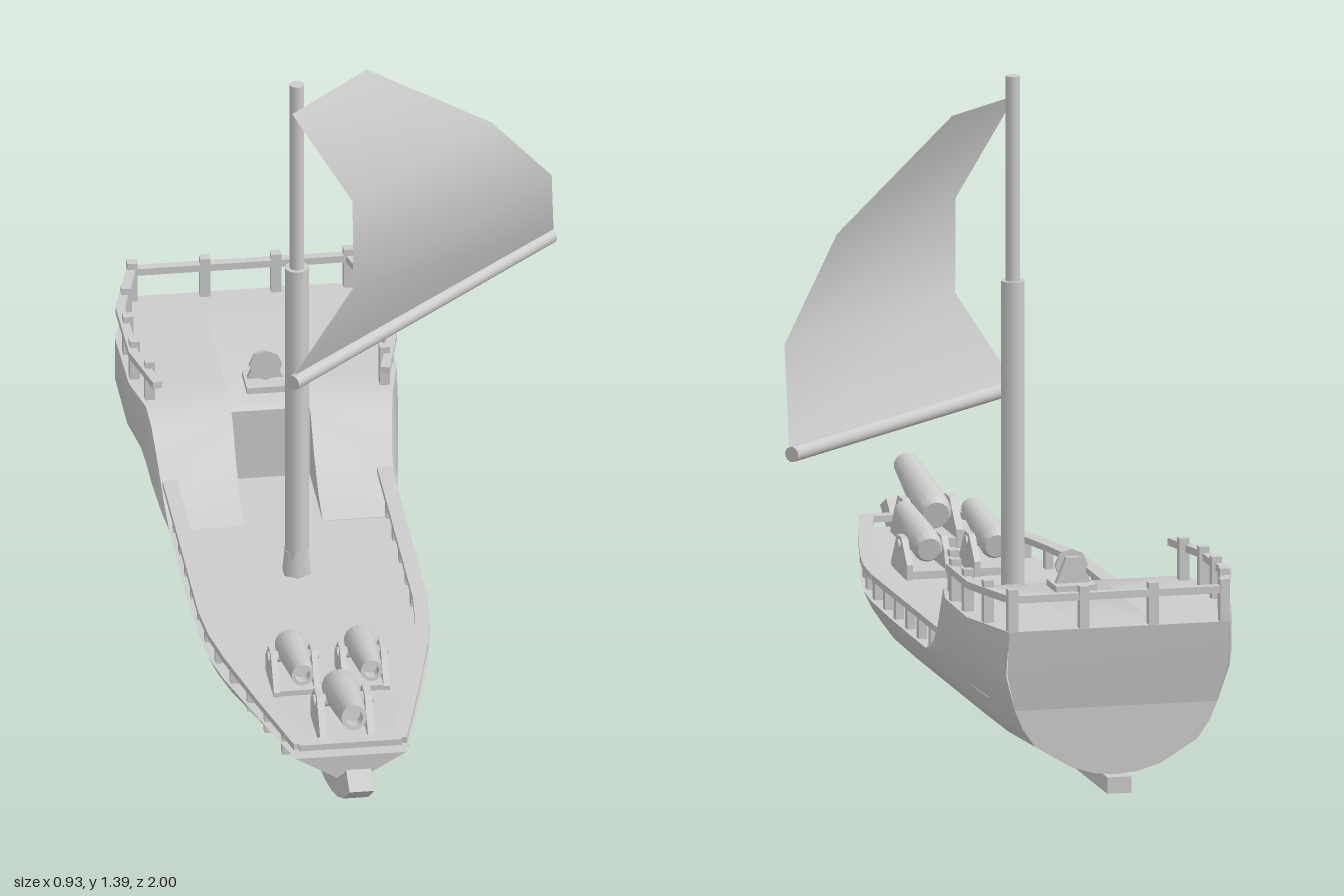
import * as THREE from 'three';
import { toCreasedNormals } from 'three/addons/utils/BufferGeometryUtils.js';

const CX = -0.17; // centre line of the ship
const mat = new THREE.MeshStandardMaterial({ color: 0xcccccc });
const thin = new THREE.MeshStandardMaterial({ color: 0xcccccc, side: THREE.DoubleSide });

function add(parent, name, geo, pos = [0, 0, 0], material = mat) {
  const m = new THREE.Mesh(geo, material);
  m.name = name;
  m.position.set(...pos);
  parent.add(m);
  return m;
}

// Surface through rows of [x, y, z] points
function loft(rows, crease = 0.6) {
  const n = rows[0].length, idx = [];
  for (let i = 0; i < rows.length - 1; i++)
    for (let j = 0; j < n - 1; j++) {
      const a = i * n + j, b = a + n;
      idx.push(a, b, a + 1, b, b + 1, a + 1);
    }
  const g = new THREE.BufferGeometry();
  g.setAttribute('position', new THREE.Float32BufferAttribute(rows.flat(2), 3));
  g.setIndex(idx);
  return toCreasedNormals(g, crease);
}
const sheet = (parent, name, rows, crease) => add(parent, name, loft(rows, crease), [0, 0, 0], thin);

// Outline [z, y] pulled along x, centred on x = 0
function slab(outline, width) {
  const g = new THREE.ExtrudeGeometry(
    new THREE.Shape(outline.map(([z, y]) => new THREE.Vector2(-z, y))),
    { depth: width, bevelEnabled: false });
  return g.translate(0, 0, -width / 2).rotateY(Math.PI / 2);
}

// Square bar or round pole between two points
function bar(parent, name, a, b, w, h) {
  const A = new THREE.Vector3(...a), B = new THREE.Vector3(...b), d = B.clone().sub(A);
  const m = add(parent, name, new THREE.BoxGeometry(w, h, d.length() + w * 0.25));
  m.position.lerpVectors(A, B, 0.5);
  m.rotation.y = Math.atan2(d.x, d.z);
}
function pole(parent, name, a, b, ra, rb, sides = 12) {
  const A = new THREE.Vector3(...a), B = new THREE.Vector3(...b), d = B.clone().sub(A);
  const m = add(parent, name, new THREE.CylinderGeometry(rb, ra, d.length(), sides));
  m.position.lerpVectors(A, B, 0.5);
  m.quaternion.setFromUnitVectors(new THREE.Vector3(0, 1, 0), d.normalize());
}

// Lower hull sections: z, deck y, half width, bottom y, sharpness of the V
const SECTIONS = [
  [0.82, 0.225, 0.12, 0.155, 1], [0.7, 0.218, 0.15, 0.108, 0.85], [0.6, 0.212, 0.175, 0.08, 0.65],
  [0.4, 0.2, 0.222, 0.05, 0.3], [0.3, 0.197, 0.24, 0.043, 0.15], [0.2, 0.195, 0.247, 0.04, 0],
  [0, 0.193, 0.25, 0.04, 0], [-0.28, 0.19, 0.248, 0.04, 0], [-0.6, 0.19, 0.248, 0.04, 0],
  [-0.8, 0.19, 0.245, 0.04, 0], [-0.97, 0.19, 0.225, 0.04, 0]];
const HALF = [[0, 0], [0.22, 0.03], [0.45, 0.14], [0.8, 0.46], [0.92, 0.72], [1, 1]];
// Raised stern: z, top y, top half width
const STERN = [[-0.28, 0.191, 0.248], [-0.35, 0.22, 0.25], [-0.42, 0.277, 0.254], [-0.47, 0.34, 0.261],
  [-0.51, 0.37, 0.268], [-0.62, 0.37, 0.291], [-0.82, 0.37, 0.294], [-1, 0.37, 0.245]];

function at(table, z, col) {
  for (let i = 0; i < table.length - 1; i++) {
    const a = table[i], b = table[i + 1];
    if (z <= a[0] && z >= b[0]) return a[col] + (b[col] - a[col]) * (a[0] - z) / (a[0] - b[0]);
  }
  return table[table.length - 1][col];
}

function buildHull(ship) {
  const hull = new THREE.Group();
  hull.name = 'hull';
  ship.add(hull);
  const mirror = half => [...half.slice(1).reverse().map(([x, y, z]) => [-x, y, z]), ...half];
  const rows = SECTIONS.map(([z, top, w, low, vee]) =>
    mirror(HALF.map(([u, v]) => [u * w, low + (v + (u - v) * vee) * (top - low), z])));
  sheet(hull, 'lowerHull', rows, 0.9);

  // Flared sides of the raised stern
  for (const s of [1, -1])
    sheet(hull, 'sternSide', STERN.map(([z, y, w]) => {
      const zLow = Math.max(z, -0.97), yMid = 0.19 + (y - 0.19) * 0.45;
      const flare = Math.max(w, 0.248 + 0.046 * Math.min(1, (-0.28 - z) / 0.34) * (z > -0.83));
      return [[s * at(SECTIONS, zLow, 2), 0.19, zLow], [s * flare, yMid, (z + zLow) / 2], [s * w, y, z]];
    }), 0.9);

  // Flat bow and stern faces
  const cap = (name, ring) => sheet(hull, name, [ring, ring.map(p => [0, ring[0][1], p[2]])], 0.1);
  cap('bowFace', rows[0]);
  cap('transom', rows[rows.length - 1]);
  const wide = [[0.225, 0.19, -0.97], [0.245, 0.271, -0.985], [0.245, 0.37, -1]];
  sheet(hull, 'upperTransom', wide.map(([x, y, z]) => [[-x, y, z], [x, y, z]]));

  // Decks, with a stairwell cut into the ramp
  const W = 0.085, ZB = -0.49, yB = at(STERN, ZB, 1);
  const across = ([z, y]) => [[-W, y, z], [W, y, z]];
  sheet(hull, 'mainDeck', SECTIONS.slice(0, 8).map(([z, y, w]) => [[-w, y, z], [w, y, z]]));
  sheet(hull, 'sternDeckMiddle', [[ZB, yB], [-0.51, 0.37], [-1, 0.37]].map(across), 1);
  sheet(hull, 'stairwellBack', [[ZB, 0.19], [ZB, yB]].map(across));
  sheet(hull, 'stairwellFloor', [[-0.28, 0.19], [ZB, 0.19]].map(across));
  for (const s of [1, -1]) {
    sheet(hull, 'sternDeckSide', STERN.map(([z, y, w]) => [[s * W, y, z], [s * w, y, z]]), 1);
    sheet(hull, 'stairwellSide', [...STERN.slice(0, 4), [ZB, yB]].map(([z, y]) => [[s * W, 0.19, z], [s * W, y, z]]));
  }

  // Keel sweeping up to the stem
  add(hull, 'keel', slab([[1, 0.235], [0.9, 0.165], [0.8, 0.115], [0.7, 0.077], [0.6, 0.047], [0.5, 0.026], [0.4, 0.012],
    [0.2, 0], [-1, 0.004], [-1, 0.04], [0.2, 0.042], [0.4, 0.052], [0.6, 0.092], [0.7, 0.125],
    [0.82, 0.175], [0.9, 0.226], [0.945, 0.26]], 0.054));
}

function buildRails(ship) {
  const rails = new THREE.Group();
  rails.name = 'rails';
  ship.add(rails);
  const bow = [[0.233, -0.38], [0.233, 0.2], [0.225, 0.3], [0.207, 0.4], [0.16, 0.6], [0.108, 0.803]];
  const stern = [[0.248, -0.48], [0.281, -0.62], [0.283, -0.82], [0.236, -0.988]];
  const run = (name, path, y, w, h, s) => path.slice(1).forEach(([x, z], i) =>
    bar(rails, name, [s * path[i][0], y, path[i][1]], [s * x, y, z], w, h));
  for (const s of [1, -1]) {
    run('bowRail', bow, 0.249, 0.032, 0.014, s);
    for (let z = 0.72; z > -0.37; z -= 0.1)
      add(rails, 'bowRailPost', new THREE.BoxGeometry(0.018, 0.06, 0.02), [s * (at(SECTIONS, z, 2) - 0.017), 0.217, z]);
    run('sternRail', stern, 0.44, 0.02, 0.016, s);
    for (const [x, z] of [[0.255, -0.55], [0.275, -0.645], [0.275, -0.755], [0.262, -0.88], [0.235, -0.988], [0.077, -0.988]])
      add(rails, 'sternRailPost', new THREE.BoxGeometry(0.022, 0.095, 0.022), [s * x, 0.415, z]);
  }
  bar(rails, 'bowCrossRail', [-0.108, 0.249, 0.803], [0.108, 0.249, 0.803], 0.03, 0.014);
  bar(rails, 'sternCrossRail', [-0.236, 0.44, -0.988], [0.236, 0.44, -0.988], 0.02, 0.016);
}

function buildRig(ship) {
  const z = -0.062;
  pole(ship, 'mastCollar', [0, 0.19, z], [0, 0.25, z], 0.034, 0.028, 6);
  pole(ship, 'lowerMast', [0, 0.19, z], [0, 0.942, z], 0.026, 0.026);
  pole(ship, 'upperMast', [0, 0.94, z], [0, 1.392, z], 0.016, 0.016);
  pole(ship, 'boom', [-0.017, 0.694, 0.003], [0.62, 0.694, -0.572], 0.017, 0.017);
  // Bellied sail: y, then x and z of each edge
  const edges = [[0.708, -0.015, 0, 0.625, -0.57], [0.91, 0.115, -0.01, 0.605, -0.45],
    [1.12, 0.115, -0.015, 0.457, -0.325], [1.34, -0.015, -0.025, 0.17, -0.2]];
  sheet(ship, 'sail', edges.map(([y, xa, za, xb, zb]) => [[xa, y, za], [xb, y, zb]]), 1.2);
}

// Gun on a two-cheek carriage, built around its rear foot
function buildCannon(ship, x, y, z, k, pitch) {
  const gun = new THREE.Group();
  gun.name = 'cannon';
  gun.position.set(x, y, z);
  gun.scale.setScalar(k);
  ship.add(gun);
  for (const s of [1, -1])
    add(gun, 'carriageCheek', slab([[0, 0], [0.165, 0], [0.165, 0.02], [0.105, 0.1], [0.06, 0.1], [0, 0.04]], 0.016), [s * 0.052, 0, 0]);
  add(gun, 'carriageBed', new THREE.BoxGeometry(0.12, 0.02, 0.16), [0, 0.012, 0.082]);
  const trunnion = add(gun, 'trunnion', new THREE.CylinderGeometry(0.014, 0.014, 0.13, 10), [0, 0.078, 0.08]);
  trunnion.rotation.z = Math.PI / 2;
  const profile = [[0, -0.075], [0.03, -0.075], [0.039, -0.06], [0.039, 0], [0.028, 0.19],
    [0.019, 0.19], [0.019, 0.15], [0, 0.15]].map(p => new THREE.Vector2(...p));
  const barrel = add(gun, 'barrel', toCreasedNormals(new THREE.LatheGeometry(profile, 14), 0.6), [0, 0.09, 0.08], thin);
  barrel.rotation.x = Math.PI / 2 - pitch;
}

// Helm stand on the stern deck
function buildHelm(ship) {
  const helm = new THREE.Group();
  helm.name = 'helm';
  helm.position.set(0, 0.37, -0.58);
  ship.add(helm);
  add(helm, 'helmBase', new THREE.BoxGeometry(0.09, 0.014, 0.085), [0, 0.007, 0]);
  const stand = add(helm, 'helmStand', slab([[-0.04, 0], [0.04, 0], [0.015, 0.06], [-0.015, 0.06]], 0.014), [0, 0.01, -0.006]);
  stand.rotation.y = Math.PI / 2;
  const wheel = add(helm, 'helmWheel', new THREE.CylinderGeometry(0.036, 0.036, 0.01, 8), [0, 0.05, 0.006]);
  wheel.rotation.x = Math.PI / 2;
}

export function createModel() {
  const model = new THREE.Group();
  model.name = 'sailingShip';
  const ship = new THREE.Group();
  ship.name = 'ship';
  ship.position.x = CX;
  model.add(ship);
  buildHull(ship);
  buildRails(ship);
  buildRig(ship);
  buildCannon(ship, 0, 0.215, 0.61, 1, 0.23);
  for (const s of [1, -1]) buildCannon(ship, s * 0.075, 0.2, 0.37, 0.85, 0.18);
  buildHelm(ship);
  return model;
}
